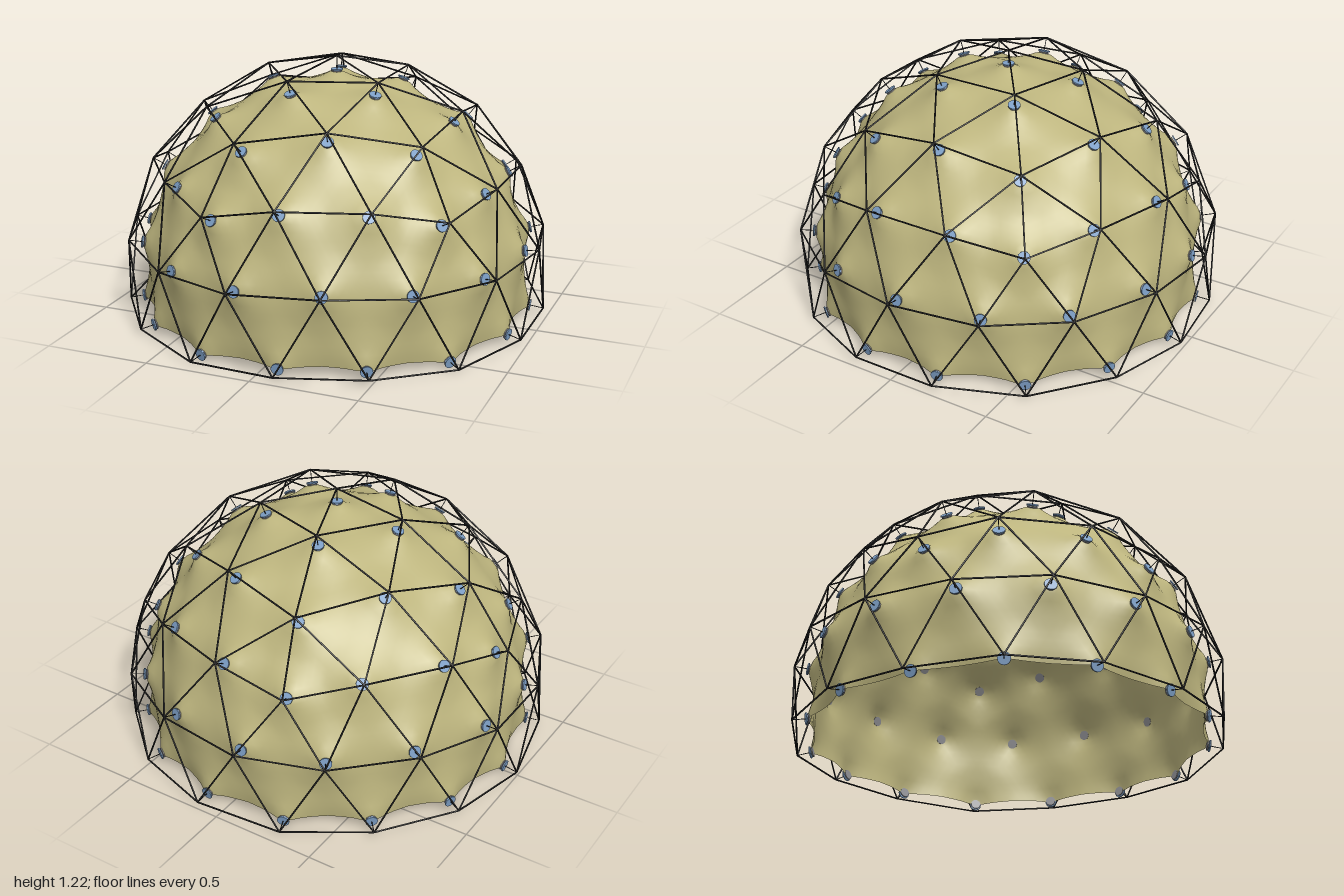
import * as THREE from 'three';
import { mergeGeometries, mergeVertices } from 'three/addons/utils/BufferGeometryUtils.js';

const CENTRE_Y = 0.206;   // height of the sphere centre
const FRAME_R = 1.014;    // radius of the strut frame
const DISC_R = 0.947;     // radius at which the membrane is held
const SAG_R = 0.893;      // radius the membrane relaxes to between discs
const UP = new THREE.Vector3(0, 1, 0);

const onSphere = (dir, r) => dir.clone().multiplyScalar(r).setY(dir.y * r + CENTRE_Y);
const mat = (color, side = THREE.FrontSide) => new THREE.MeshStandardMaterial({ color, side });

// Split a triangle into n*n smaller ones
function subdivide([a, b, c], n) {
  const p = (i, j) => new THREE.Vector3()
    .addScaledVector(a, (n - i - j) / n)
    .addScaledVector(b, i / n)
    .addScaledVector(c, j / n);
  const out = [];
  for (let i = 0; i < n; i++) {
    for (let j = 0; j < n - i; j++) {
      out.push([p(i, j), p(i + 1, j), p(i, j + 1)]);
      if (i + j < n - 1) out.push([p(i + 1, j), p(i + 1, j + 1), p(i, j + 1)]);
    }
  }
  return out;
}

// Three-frequency icosahedral dome, cut off just below the equator
function domeTriangles() {
  const ring = (k, offset, y) => {
    const t = Math.PI + (k + offset) * Math.PI * 0.4, r = 2 / Math.sqrt(5);
    return new THREE.Vector3(Math.cos(t) * r, y, Math.sin(t) * r);
  };
  const upper = k => ring(k, 0, 1 / Math.sqrt(5));
  const lower = k => ring(k, 0.5, -1 / Math.sqrt(5));
  const tris = [];
  for (let k = 0; k < 5; k++) {
    const faces = [
      [UP.clone(), upper(k + 1), upper(k)],
      [upper(k), upper(k + 1), lower(k)],
      [upper(k), lower(k), lower(k - 1)],
    ];
    for (const face of faces) tris.push(...subdivide(face, 3));
  }
  tris.forEach(t => t.forEach(v => v.normalize()));
  return tris.filter(t => t.every(v => v.y > -0.3));
}

// Thin round bar between two points
function bar(a, b, r) {
  const d = b.clone().sub(a);
  const g = new THREE.CylinderGeometry(r, r, d.length(), 6);
  g.applyQuaternion(new THREE.Quaternion().setFromUnitVectors(UP, d.normalize()));
  const m = a.clone().add(b).multiplyScalar(0.5);
  return g.translate(m.x, m.y, m.z);
}

// Round plate facing outwards along a direction
function plate(dir, r, radius, thickness) {
  const g = new THREE.CylinderGeometry(radius, radius, thickness, 18);
  g.applyQuaternion(new THREE.Quaternion().setFromUnitVectors(UP, dir));
  const p = onSphere(dir, r);
  return g.translate(p.x, p.y, p.z);
}

// Fabric pulled outwards at each disc and sagging in between
function membraneGeometry(tris) {
  const pos = [];
  for (const tri of tris) {
    for (const small of subdivide(tri, 10)) {
      for (const v of small) {
        v.normalize();
        const d = Math.min(...tri.map(c => c.distanceTo(v)));
        const pull = Math.exp(-Math.max(d - 0.025, 0) / 0.085);
        pos.push(...onSphere(v, SAG_R + (DISC_R - 0.002 - SAG_R) * pull).toArray());
      }
    }
  }
  let g = new THREE.BufferGeometry();
  g.setAttribute('position', new THREE.Float32BufferAttribute(pos, 3));
  g = mergeVertices(g, 1e-4);
  g.computeVertexNormals();
  return g;
}

export function createModel() {
  const group = new THREE.Group();
  const add = (name, geometry, material) => {
    const mesh = new THREE.Mesh(geometry, material);
    mesh.name = name;
    group.add(mesh);
  };

  // Unique hubs and edges of the dome
  const tris = domeTriangles();
  const key = v => v.toArray().map(n => Math.round(n * 1000) + 0).join();
  const hubs = new Map(), edges = new Map();
  for (const t of tris) {
    t.forEach((a, i) => {
      const b = t[(i + 1) % 3];
      hubs.set(key(a), a);
      edges.set([key(a), key(b)].sort().join('|'), [a, b]);
    });
  }
  const dirs = [...hubs.values()];

  const dark = mat(0x222222);
  add('frameStruts', mergeGeometries([...edges.values()].map(([a, b]) =>
    bar(onSphere(a, FRAME_R), onSphere(b, FRAME_R), 0.004))), dark);
  add('hangerCords', mergeGeometries(dirs.map(d =>
    bar(onSphere(d, FRAME_R), onSphere(d, DISC_R), 0.002))), dark);
  add('membrane', membraneGeometry(tris), mat(0xbdb57e, THREE.DoubleSide));

  // Clamping discs on both sides of the fabric
  add('outerDiscs', mergeGeometries(dirs.map(d => plate(d, DISC_R + 0.003, 0.028, 0.006))), mat(0x7d9fc6));
  add('innerDiscs', mergeGeometries(dirs.map(d => plate(d, DISC_R - 0.007, 0.024, 0.006))), mat(0x8c8c90));
  return group;
}
